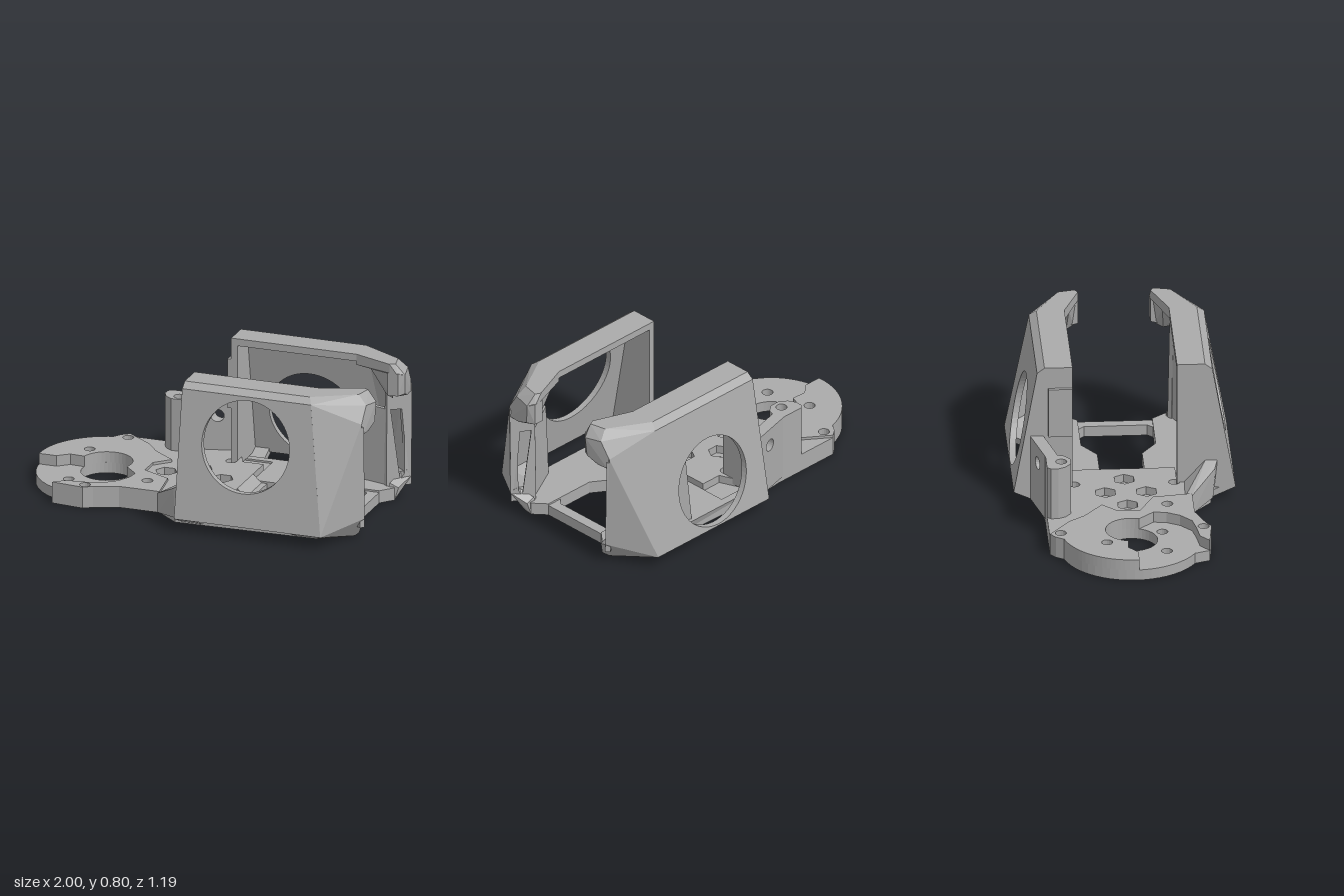
import * as THREE from 'three';
import { ConvexGeometry } from 'three/addons/geometries/ConvexGeometry.js';

const grey = new THREE.MeshStandardMaterial({ color: 0xaaaaaa });
grey.name = 'grey plastic';

function add(parent, name, geometry) {
  const mesh = new THREE.Mesh(geometry, grey);
  mesh.name = name;
  parent.add(mesh);
  return mesh;
}

// Convex solid through points, with z mirrored by s
function solid(parent, name, pts, s = 1) {
  return add(parent, name, new ConvexGeometry(pts.map(([x, y, z]) => new THREE.Vector3(x, y, z * s))));
}

// Slab: an outer face thickened by an offset
function slab(parent, name, pts, [dx, dy, dz], s) {
  return solid(parent, name, [...pts, ...pts.map(([x, y, z]) => [x + dx, y + dy, z + dz])], s);
}

const toShape = pts => new THREE.Shape(pts.map(([x, z]) => new THREE.Vector2(x, z)));
const ring = (x, z, r, sides = 24) => new THREE.Path(Array.from({ length: sides }, (_, i) => {
  const a = -i / sides * Math.PI * 2;
  return new THREE.Vector2(x + r * Math.cos(a), z + r * Math.sin(a));
}));

// Flat layer drawn in x/z between two heights
function layer(parent, name, pts, holes, y0, y1) {
  const shape = toShape(pts);
  shape.holes = holes;
  const g = new THREE.ExtrudeGeometry(shape, { depth: y1 - y0, bevelEnabled: false });
  g.rotateX(Math.PI / 2).translate(0, y1, 0);
  return add(parent, name, g);
}

// Arc around the motor centre, angles in degrees
function arc(from, to, r = 0.38, n = 20) {
  return Array.from({ length: n + 1 }, (_, i) => {
    const a = (from + (to - from) * i / n) * Math.PI / 180;
    return [-0.62 + r * Math.cos(a), r * Math.sin(a)];
  });
}

const backScrews = [[-0.64, -0.38], [-0.77, -0.14]];
const recessScrews = [[-0.77, 0.18], [-0.53, 0.17]];
const deckScrews = [[-0.6, 0.387], [-0.31, 0.21], [-0.01, -0.27], [-0.01, 0.265]];
const nuts = [[-0.28, 0], [-0.12, -0.11], [-0.12, 0.11], [0.04, 0]];
const screwHoles = list => list.map(([x, z]) => ring(x, z, 0.03, 16));

function buildBase(parent) {
  const base = new THREE.Group();
  base.name = 'base';
  parent.add(base);

  // Bottom plate with window
  const backEdge = [[-0.69, -0.41], [-0.65, -0.44], [-0.24, -0.44]];
  const frontEdge = [[-0.19, 0.35], [-0.42, 0.35], [-0.55, 0.4], [-0.6, 0.43], [-0.78, 0.41]];
  const tail = [[0.74, -0.44], [0.915, -0.32], [0.92, -0.27], [0.86, -0.2]];
  const window = toShape([[0.25, -0.12], [0.43, -0.12], [0.55, -0.2], [0.77, -0.2], [0.8, -0.17],
    [0.8, 0.17], [0.77, 0.2], [0.55, 0.2], [0.43, 0.12], [0.25, 0.12]]);
  layer(base, 'bottomPlate',
    [...arc(120, 255), ...backEdge, [-0.02, -0.46], ...tail,
      ...tail.slice().reverse().map(([x, z]) => [x, -z]), [-0.06, 0.46], ...frontEdge],
    [ring(-0.62, 0, 0.14, 40), ...screwHoles([...backScrews, ...recessScrews, ...deckScrews]),
      ...nuts.map(([x, z]) => ring(x, z, 0.02, 12)), window], 0, 0.06);

  // Side rails beside the window
  for (const s of [1, -1]) {
    const rail = [[0.17, 0.12], [0.43, 0.12], [0.55, 0.2], [0.77, 0.2], [0.86, 0.2], [0.92, 0.27],
      [0.915, 0.32], [0.74, 0.44], [0.17, 0.44]];
    layer(base, 'sideRail', rail.map(([x, z]) => [x, z * s]), [], 0.06, 0.07);
  }

  // Raised deck with nut pockets, leaving the motor seat low
  const motorSeat = [[-0.72, 0.36], [-0.62, 0.348], [-0.53, 0.33], [-0.46, 0.27], [-0.42, 0.2], [-0.41, 0.13],
    ...arc(20, -170, 0.14), [-0.84, -0.03], [-0.9, 0.02], ...arc(177, 255), [-0.69, -0.41], [-0.65, -0.44]];
  layer(base, 'deck',
    [...motorSeat, [-0.24, -0.44], [-0.02, -0.45], [0.05, -0.28], [0.17, -0.28], [0.17, 0.28], [0.05, 0.28],
      [-0.06, 0.45], ...frontEdge],
    [...screwHoles([...backScrews, ...deckScrews]), ...nuts.map(([x, z]) => ring(x, z, 0.06, 6))],
    0.06, 0.105);

  // Thicker pad around the motor seat
  layer(base, 'motorPad',
    [...motorSeat, [-0.5, -0.33], [-0.43, -0.24], [-0.3, -0.14], [-0.38, -0.06], [-0.38, 0.06],
      [-0.22, 0.14], ...frontEdge],
    screwHoles([...backScrews, ...deckScrews.slice(0, 2)]), 0.105, 0.12);

  // Sloped edge of the window
  solid(base, 'windowRamp', [-0.12, 0.12].flatMap(z =>
    [[0.17, 0.105, z], [0.17, 0, z], [0.25, 0, z], [0.25, 0.03, z]]));

  // Tall bracket beside the motor mount
  layer(base, 'bracketColumn',
    [[-0.43, -0.42], [-0.41, -0.44], [-0.27, -0.44], [-0.25, -0.4], [-0.27, -0.34], [-0.31, -0.31],
      [-0.37, -0.31], [-0.41, -0.34], [-0.43, -0.38]], [ring(-0.34, -0.36, 0.03, 16)], 0.1, 0.4);
  const wall = toShape([[-0.27, 0.03], [0, 0.03], [0, 0.4], [-0.27, 0.4]]);
  wall.holes = [ring(-0.14, 0.3, 0.035, 20)];
  const wg = new THREE.ExtrudeGeometry(wall, { depth: 0.07, bevelEnabled: false });
  const p = wg.attributes.position;
  for (let i = 0; i < p.count; i++) p.setZ(i, p.getZ(i) - 0.51 - p.getX(i) * 0.25);
  wg.computeVertexNormals();
  add(base, 'bracketWall', wg);
  add(base, 'bracketTab', new THREE.BoxGeometry(0.03, 0.28, 0.13)).position.set(-0.02, 0.54, -0.345);

  // Gusset from deck to the front shell
  solid(base, 'gusset', [[-0.2, 0, 0.35], [-0.2, 0.11, 0.35], [-0.2, 0.1, 0.31], [-0.06, 0.03, 0.47],
    [-0.06, 0.2, 0.48], [0, 0.03, 0.47], [0, 0.24, 0.5], [0, 0.24, 0.44], [0, 0.03, 0.32], [0, 0.11, 0.32]]);
}

// Outer wall depth at height y
const wallZ = y => 0.595 - (y - 0.07) * 0.179;

function buildShell(parent, s, holeY) {
  const shell = new THREE.Group();
  shell.name = s > 0 ? 'frontShell' : 'backShell';
  parent.add(shell);

  // Leaning outer wall with round opening
  const t = 0.035;
  const shape = toShape([[-0.015, 0.07], [0.82, 0.07], [0.72, 0.77], [-0.015, 0.77]]);
  shape.holes = [ring(0.365, holeY, 0.25, 56)];
  const g = new THREE.ExtrudeGeometry(shape, { depth: t, bevelEnabled: false });
  const p = g.attributes.position;
  for (let i = 0; i < p.count; i++) {
    const out = wallZ(p.getY(i)), d = p.getZ(i);
    p.setZ(i, s > 0 ? out - t + d : d - out);
  }
  g.computeVertexNormals();
  add(shell, 'outerWall', g);

  // Top flange and the hook at its end
  solid(shell, 'topFlange', [-0.015, 0.7].flatMap(x => [[x, 0.8, 0.28], [x, 0.8, 0.43],
    [x + (x > 0 ? 0.02 : 0), 0.77, 0.47], [x, 0.75, 0.44], [x, 0.76, 0.28]]), s);
  solid(shell, 'topCorner', [[0.7, 0.8, 0.28], [0.7, 0.8, 0.43], [0.72, 0.77, 0.47], [0.93, 0.8, 0.3],
    [0.95, 0.8, 0.21], [0.92, 0.8, 0.195], [0.98, 0.75, 0.32], [1, 0.74, 0.22], [0.97, 0.74, 0.19],
    [0.92, 0.75, 0.195], [0.7, 0.74, 0.28], [0.73, 0.72, 0.46]], s);
  solid(shell, 'hookEnd', [[0.98, 0.75, 0.32], [1, 0.74, 0.22], [0.97, 0.75, 0.19], [0.91, 0.75, 0.195],
    [0.975, 0.66, 0.378], [0.98, 0.6, 0.37], [0.985, 0.6, 0.3], [0.995, 0.63, 0.23], [0.97, 0.625, 0.19],
    [0.91, 0.62, 0.195], [0.9, 0.75, 0.33], [0.9, 0.6, 0.29]], s);
  solid(shell, 'hookRib', [[0.78, 0.76, 0.25], [0.78, 0.76, 0.4], [0.93, 0.75, 0.2], [0.93, 0.6, 0.22],
    [0.88, 0.6, 0.26], [0.9, 0.6, 0.32]], s);

  // Corner panel folding round to the end, in three facets
  const topIn = [0.72, 0.77, 0.47], topOut = [0.98, 0.75, 0.32], mid = [0.975, 0.66, 0.38];
  const footIn = [0.82, 0.07, 0.595], footOut = [0.985, 0.12, 0.362];
  for (const facet of [[topIn, topOut, mid], [topIn, mid, footIn], [mid, footOut, footIn]]) {
    slab(shell, 'cornerPanel', facet, [-0.03, 0, -0.03], s);
  }

  // Inward-facing return wall with a tall slot; u runs from the end edge inwards
  const at = (u, y) => [0.985 - 0.115 * u, y, 0.358 + 0.02 * (y - 0.1) - 0.075 * u];
  const strip = (name, u0, u1, u2, u3, y0, y1) => slab(shell, name,
    [at(u0, y0), at(u1, y0), at(u3, y1), at(u2, y1)], [-0.02, 0, 0.02], s);
  strip('returnFoot', 0, 1, 0, 1, 0.07, 0.1);
  strip('returnOuterPost', 0, 0.15, 0, 0.4, 0.1, 0.5);
  strip('returnInnerPost', 0.45, 1, 0.85, 1, 0.1, 0.5);
  strip('returnHead', 0, 1, 0, 1, 0.5, 0.64);

  // Lining behind the return wall
  const x0 = s > 0 ? 0.64 : 0.42, x1 = s > 0 ? 0.66 : 0.47;
  slab(shell, 'lining', [[x0, 0.07, 0.42], [x1, 0.5, 0.42], [0.87, 0.5, 0.3], [0.87, 0.07, 0.3]],
    [0, 0, 0.025], s);

  // Bevelled underside, open below the round hole
  const up = [-0.02, 0.035, -0.02];
  slab(shell, 'bevelCorner', [footIn, footOut, [0.915, 0, 0.32], [0.74, 0, 0.44]], up, s);
  slab(shell, 'bevelEnd', [footOut, [0.94, 0.07, 0.28], [0.92, 0, 0.27], [0.915, 0, 0.32]], [-0.05, 0.02, 0], s);
  slab(shell, 'bevelRear', [[0.64, 0.07, 0.595], footIn, [0.74, 0, 0.44], [0.64, 0, 0.44]], up, s);
  slab(shell, 'bevelInner', [[-0.015, 0.07, 0.595], [0.1, 0.07, 0.595], [0.1, 0, 0.44], [-0.015, 0, 0.44]],
    [0, 0.03, -0.02], s);
  solid(shell, 'skirt', [0, 0.7].flatMap(x => [[x, 0, 0.42], [x, 0, 0.44], [x, 0.07, 0.465], [x, 0.07, 0.42]]), s);

  // Closed wall at the motor side
  slab(shell, 'endBulkhead', [[-0.015, 0.07, 0.28], [-0.015, 0.07, 0.58], [-0.015, 0.77, 0.46],
    [-0.015, 0.79, 0.43], [-0.015, 0.79, 0.28]], [0.035, 0, 0], s);
}

export function createModel() {
  const model = new THREE.Group();
  model.name = 'mountingFrame';
  buildBase(model);
  buildShell(model, 1, 0.5);
  buildShell(model, -1, 0.33);
  return model;
}
